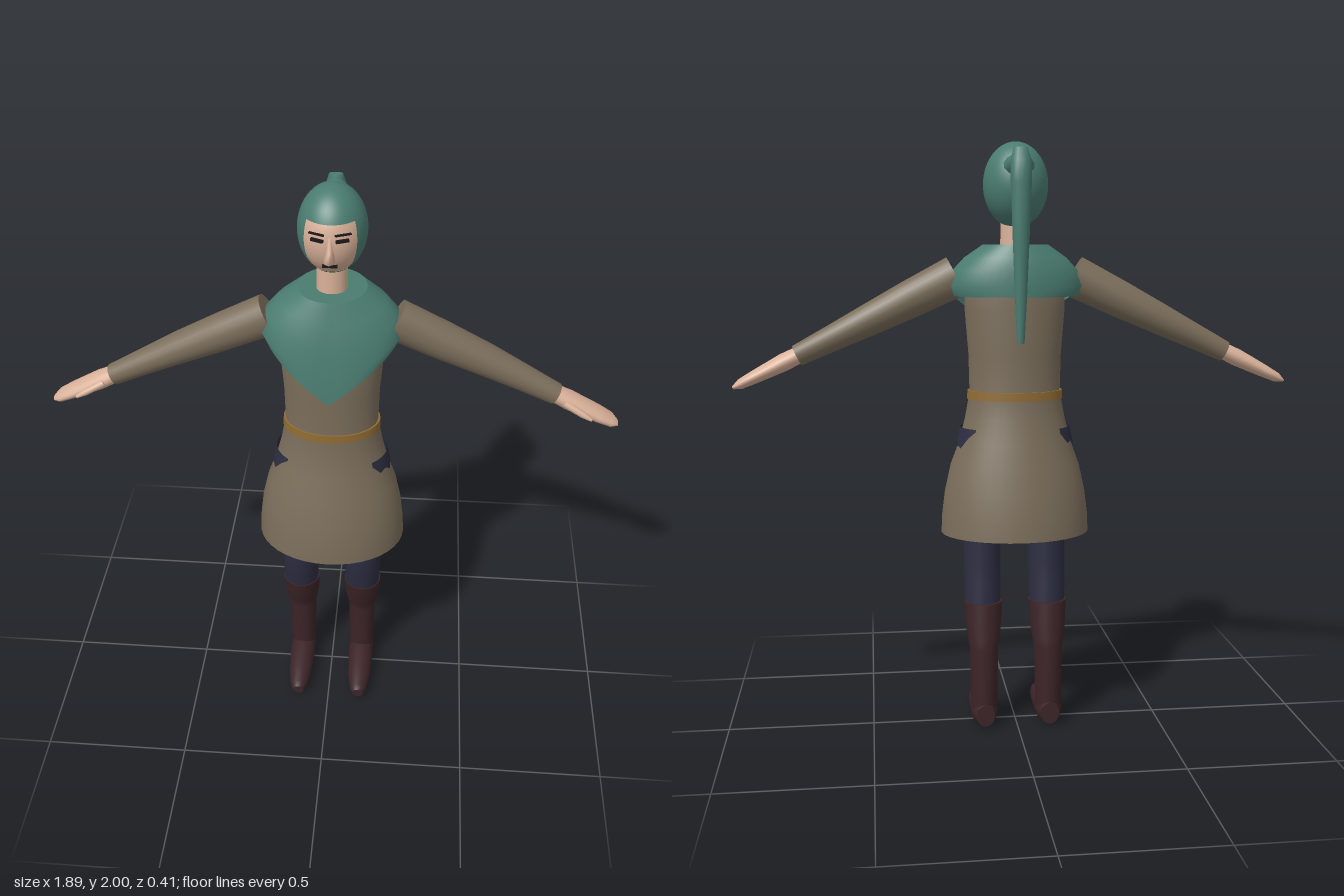
import * as THREE from 'three';

const mat = (name, color, side = THREE.FrontSide) => {
  const m = new THREE.MeshStandardMaterial({ color, side });
  m.name = name;
  return m;
};

// Smooth surface from rows of points, running bottom to top and counter-clockwise
function grid(rows, cols, fn) {
  const pos = [], idx = [];
  for (let i = 0; i <= rows; i++)
    for (let j = 0; j <= cols; j++) pos.push(...fn(i, j / cols));
  for (let i = 0; i < rows; i++)
    for (let j = 0; j < cols; j++) {
      const a = i * (cols + 1) + j, d = a + cols + 1;
      idx.push(a, a + 1, d + 1, a, d + 1, d);
    }
  const g = new THREE.BufferGeometry();
  g.setAttribute('position', new THREE.Float32BufferAttribute(pos, 3));
  g.setIndex(idx);
  g.computeVertexNormals();
  return g;
}

// Elliptical cross-sections [y, centre x, centre z, radius x, radius z], with flat caps
function loft(name, material, rings, parent, segs = 24) {
  const group = new THREE.Group();
  group.name = name;
  const body = grid(rings.length - 1, segs, (i, u) => {
    const [y, cx, cz, rx, rz] = rings[i], a = u * Math.PI * 2;
    return [cx + Math.sin(a) * rx, y, cz + Math.cos(a) * rz];
  });
  // Join the normals across the seam
  const n = body.attributes.normal;
  rings.forEach((_, i) => {
    const a = i * (segs + 1), b = a + segs;
    const v = new THREE.Vector3(n.getX(a) + n.getX(b), n.getY(a) + n.getY(b), n.getZ(a) + n.getZ(b)).normalize();
    n.setXYZ(a, v.x, v.y, v.z);
    n.setXYZ(b, v.x, v.y, v.z);
  });
  group.add(new THREE.Mesh(body, material));
  for (const [ring, dir] of [[rings[0], 1], [rings[rings.length - 1], -1]]) {
    const cap = new THREE.Mesh(new THREE.CircleGeometry(1, segs), material);
    cap.rotation.x = dir * Math.PI / 2;
    cap.scale.set(ring[3], ring[4], 1);
    cap.position.set(ring[1], ring[0], ring[2]);
    group.add(cap);
  }
  group.children.forEach((m) => { m.name = name; });
  parent.add(group);
  return group;
}

export function createModel() {
  const model = new THREE.Group();
  model.name = 'hoodedFigure';
  const teal = mat('teal cloth', 0x4a7c70);
  const tealOpen = mat('teal cape', 0x4a7c70, THREE.DoubleSide);
  const brown = mat('brown cloth', 0x7a6d5a);
  const skin = mat('skin', 0xd8b098);
  const gold = mat('ochre leather', 0x8f6c34);
  const navy = mat('navy cloth', 0x2c2d40);
  const navyOpen = mat('navy patch', 0x2c2d40, THREE.DoubleSide);
  const boot = mat('dark red leather', 0x3c2427);
  const dark = mat('dark lines', 0x1c1618);
  const add = (name, geo, material, parent = model) => {
    const m = new THREE.Mesh(geo, material);
    m.name = name;
    parent.add(m);
    return m;
  };

  // Tunic and belt
  loft('tunic', brown, [
    [0.685, 0, 0.002, 0.255, 0.203], [0.75, 0, 0.003, 0.252, 0.198], [0.83, 0, 0.003, 0.242, 0.184],
    [0.92, 0, 0.002, 0.222, 0.164], [1.0, 0, 0, 0.192, 0.143], [1.08, 0, 0, 0.172, 0.124],
    [1.17, 0, 0.003, 0.155, 0.113], [1.3, 0, 0.003, 0.158, 0.115], [1.45, 0, 0.002, 0.17, 0.114],
    [1.55, 0, 0, 0.17, 0.105], [1.63, 0, -0.01, 0.11, 0.09],
  ], model, 40);
  loft('belt', gold, [[1.148, 0, 0.002, 0.164, 0.12], [1.177, 0, 0.002, 0.162, 0.119]], model, 40);

  // Shoulder cape, dipping to a point in front
  const fall = [1, 0.8, 0.5, 0.25, 0], capeX = [0.215, 0.233, 0.212, 0.172, 0.11];
  const capeZ = [0.163, 0.16, 0.152, 0.136, 0.115];
  add('cape', grid(4, 48, (i, u) => {
    const a = (u - 0.5) * Math.PI * 2, s = Math.sin(a);
    const hem = Math.cos(a) > 0 ? 1.33 + 0.165 * Math.min(1, Math.abs(s) * 1.03) : 1.495;
    return [s * capeX[i], 1.665 + (hem - 1.665) * fall[i], Math.cos(a) * capeZ[i] - 0.015 * (1 - fall[i])];
  }), tealOpen);
  const capeTop = add('capeTop', new THREE.CircleGeometry(1, 48), teal);
  capeTop.rotation.x = -Math.PI / 2;
  capeTop.scale.set(0.11, 0.115, 1);
  capeTop.position.set(0, 1.665, -0.015);

  // Neck and head: one ovoid split into face opening and hood
  loft('neck', skin, [[1.64, 0, -0.005, 0.05, 0.048], [1.78, 0, -0.005, 0.048, 0.046]], model);
  const head = new THREE.Group();
  head.name = 'head';
  head.position.set(0, 1.86, -0.022);
  head.scale.set(0.108, 0.14, 0.123);
  model.add(head);
  const top = 1.12, chin = 2.47, half = 0.83, mid = Math.PI / 2, full = Math.PI * 2;
  add('hoodCrown', new THREE.SphereGeometry(1, 40, 12, 0, full, 0, top), teal, head);
  add('hoodBack', new THREE.SphereGeometry(1, 32, 14, mid + half, full - 2 * half, top, chin - top), teal, head);
  add('hoodChin', new THREE.SphereGeometry(1, 40, 8, 0, full, chin, Math.PI - chin), teal, head);
  add('face', new THREE.SphereGeometry(0.985, 20, 14, mid - half - 0.05, 2 * half + 0.1, top - 0.05, chin - top + 0.1), skin, head);

  // Nose, eyes, brows and mouth
  const nose = loft('nose', skin, [
    [1.798, 0, 0.085, 0.014, 0.012], [1.81, 0, 0.1, 0.018, 0.032], [1.84, 0, 0.096, 0.011, 0.02],
    [1.885, 0, 0.09, 0.007, 0.008],
  ], model, 8);
  nose.name = 'nose';
  for (const s of [-1, 1]) {
    const eye = add('eye', new THREE.BoxGeometry(0.04, 0.009, 0.008), dark);
    eye.position.set(s * 0.038, 1.874, 0.094);
    eye.rotation.y = s * 0.4;
    const brow = add('brow', new THREE.BoxGeometry(0.05, 0.004, 0.008), dark);
    brow.position.set(s * 0.04, 1.893, 0.091);
    brow.rotation.y = s * 0.4;
  }
  add('mouth', new THREE.BoxGeometry(0.046, 0.009, 0.008), dark).position.set(0, 1.783, 0.081);

  // Ponytail of cloth behind the hood
  loft('hoodTail', teal, [
    [1.345, 0, -0.167, 0.012, 0.011], [1.5, 0, -0.17, 0.02, 0.018], [1.7, 0, -0.173, 0.028, 0.026],
    [1.86, 0, -0.176, 0.034, 0.03], [1.93, 0, -0.168, 0.034, 0.032], [1.972, 0, -0.157, 0.022, 0.01],
  ], model, 14);
  const root = loft('hoodTailRoot', teal, [[0, 0, 0, 0.06, 0.045], [0.075, 0, 0, 0.032, 0.032]], model, 14);
  root.position.set(0, 1.91, -0.095);
  root.rotation.x = -1.3;

  const up = new THREE.Vector3(0, 1, 0);
  const jag = [1.035, 1.0, 1.005, 0.985, 1.0, 0.99, 0.985, 1.02, 1.045];
  for (const s of [-1, 1]) {
    const side = s > 0 ? 'left' : 'right';

    // Arm: sleeve, hand and thumb along a sloping axis
    const arm = new THREE.Group();
    arm.name = side + 'Arm';
    arm.position.set(s * 0.2, 1.56, 0);
    arm.quaternion.setFromUnitVectors(up, new THREE.Vector3(s * 0.898, -0.44, 0).normalize());
    model.add(arm);
    loft('sleeve', brown, [
      [0, 0, 0, 0.07, 0.058], [0.17, 0, -0.006, 0.063, 0.06], [0.33, 0, -0.012, 0.053, 0.056],
      [0.46, 0, -0.01, 0.044, 0.046], [0.59, 0, -0.005, 0.036, 0.037],
    ], arm);
    loft('hand', skin, [
      [0.57, 0, -0.005, 0.028, 0.032], [0.64, 0, -0.005, 0.03, 0.043], [0.75, 0, -0.006, 0.022, 0.045],
      [0.8, 0, -0.006, 0.017, 0.039], [0.826, 0, -0.006, 0.006, 0.02],
    ], arm, 18);
    const thumb = loft('thumb', skin, [
      [0, 0, 0, 0.013, 0.013], [0.07, 0, 0, 0.011, 0.011], [0.105, 0, 0, 0.005, 0.005],
    ], arm, 10);
    thumb.position.set(0, 0.62, 0.03);
    thumb.rotation.x = 0.24;

    // Torn patch on the hip
    add(side + 'HipPatch', grid(3, 8, (i, u) => {
      const low = jag[Math.round(u * 8)], y = low + (1.052 - low) * i / 3;
      const a = s * Math.PI / 2 + (u - 0.5) * 1.46, grow = (1.052 - y) * 0.22;
      return [Math.sin(a) * (0.189 + grow), y, Math.cos(a) * (0.137 + grow)];
    }), navyOpen);

    // Leg: trousers, boot shaft and foot
    const leg = new THREE.Group();
    leg.name = side + 'Leg';
    leg.position.x = s * 0.113;
    model.add(leg);
    loft('trouser', navy, [
      [0.4, 0, -0.008, 0.06, 0.06], [0.5, 0, 0.007, 0.064, 0.066], [0.58, 0, 0.016, 0.065, 0.067],
      [0.74, 0, 0.019, 0.066, 0.068],
    ], leg);
    loft('bootShaft', boot, [
      [0.05, 0, -0.042, 0.045, 0.053], [0.28, 0, -0.04, 0.05, 0.055], [0.31, 0, -0.034, 0.056, 0.057],
      [0.37, 0, -0.018, 0.063, 0.065], [0.437, 0, -0.006, 0.066, 0.069],
    ], leg);
    const foot = loft('foot', boot, [
      [-0.098, 0, -0.045, 0.032, 0.038], [-0.06, 0, -0.048, 0.046, 0.048], [0.02, 0, -0.046, 0.047, 0.046],
      [0.12, 0, -0.037, 0.042, 0.035], [0.185, 0, -0.031, 0.031, 0.026], [0.205, 0, -0.029, 0.02, 0.018],
    ], leg, 18);
    foot.rotation.x = Math.PI / 2;
  }
  return model;
}
